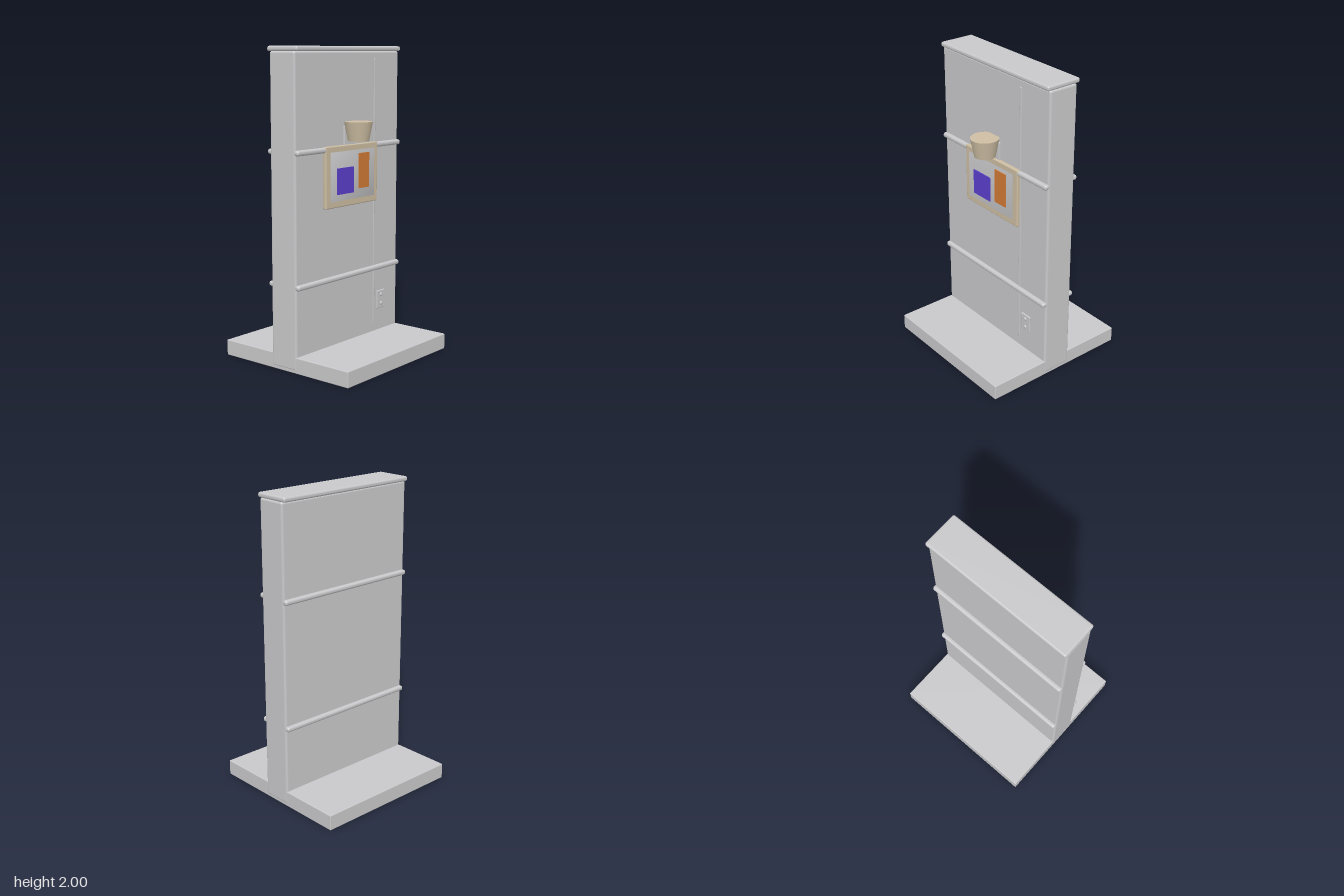
import * as THREE from 'three';
import { mergeVertices } from 'three/addons/utils/BufferGeometryUtils.js';
import { RoundedBoxGeometry } from 'three/addons/geometries/RoundedBoxGeometry.js';

function material(name, color) {
  const m = new THREE.MeshStandardMaterial({ color });
  m.name = name;
  return m;
}

export function createModel() {
  const model = new THREE.Group();
  model.name = 'displayWall';
  const grey = material('pale grey', 0xc8c8ca);
  const tan = material('warm tan', 0xcdbea3);
  const purple = material('violet', 0x5b3fcc);
  const orange = material('orange', 0xd27a36);

  function add(name, geometry, mat, x = 0, y = 0, z = 0, parent = model) {
    const mesh = new THREE.Mesh(geometry, mat);
    mesh.name = name;
    mesh.position.set(x, y, z);
    parent.add(mesh);
    return mesh;
  }

  // Box given by its limits on each axis, with optional rounded edges
  function block(name, mat, [x0, x1], [y0, y1], [z0, z1], radius = 0, parent = model) {
    const size = [x1 - x0, y1 - y0, z1 - z0];
    const geometry = radius
      ? new RoundedBoxGeometry(...size, 3, radius)
      : new THREE.BoxGeometry(...size);
    return add(name, geometry, mat, (x0 + x1) / 2, (y0 + y1) / 2, (z0 + z1) / 2, parent);
  }

  // Foot, upright wall and overhanging cap
  block('base', grey, [-0.513, 0.513], [0, 0.103], [-0.51, 0.51], 0.006);
  block('wall', grey, [-0.515, 0.515], [0.015, 1.97], [-0.102, 0.102], 0.015);
  block('cap', grey, [-0.515, 0.515], [1.968, 2], [-0.124, 0.121], 0.013);

  // Horizontal rails on both faces
  for (const y of [0.54, 1.365]) {
    for (const side of [1, -1]) {
      const z = [0.088 * side, 0.127 * side].sort((a, b) => a - b);
      block(side > 0 ? 'frontRail' : 'backRail', grey, [-0.515, 0.515], [y - 0.017, y + 0.017], z, 0.015);
    }
  }

  // Vertical trim strip on the front
  block('trimStrip', grey, [0.249, 0.263], [0.16, 1.92], [0.098, 0.107], 0.003);

  // Socket plate with two studs
  const socket = new THREE.Group();
  socket.name = 'socket';
  model.add(socket);
  block('socketPlate', grey, [0.285, 0.371], [0.253, 0.374], [0.1, 0.113], 0.004, socket);
  for (const y of [0.284, 0.345]) {
    const stud = new THREE.SphereGeometry(0.013, 16, 10);
    stud.scale(1, 1, 0.6);
    add('stud', stud, grey, 0.328, y, 0.113, socket);
  }

  // Framed board with a softly shaded panel
  const board = new THREE.Group();
  board.name = 'board';
  model.add(board);
  block('boardFrame', tan, [-0.26, 0.257], [0.997, 1.386], [0.1, 0.129], 0.007, board);
  const panel = new THREE.BoxGeometry(0.435, 0.31, 0.032);
  panel.deleteAttribute('normal');
  panel.deleteAttribute('uv');
  const softPanel = mergeVertices(panel);
  softPanel.computeVertexNormals();
  add('boardPanel', softPanel, grey, -0.002, 1.194, 0.119, board);
  block('violetCard', purple, [-0.165, 0], [1.08, 1.246], [0.134, 0.141], 0, board);
  block('orangeCard', orange, [0.051, 0.155], [1.1, 1.326], [0.134, 0.141], 0, board);

  // Tapered lamp and its mounting plate
  block('lampMount', grey, [-0.064, 0.064], [1.37, 1.5], [0.098, 0.115], 0.004);
  add('lamp', new THREE.CylinderGeometry(0.091, 0.067, 0.122, 40), tan, 0, 1.471, 0.175);

  return model;
}
